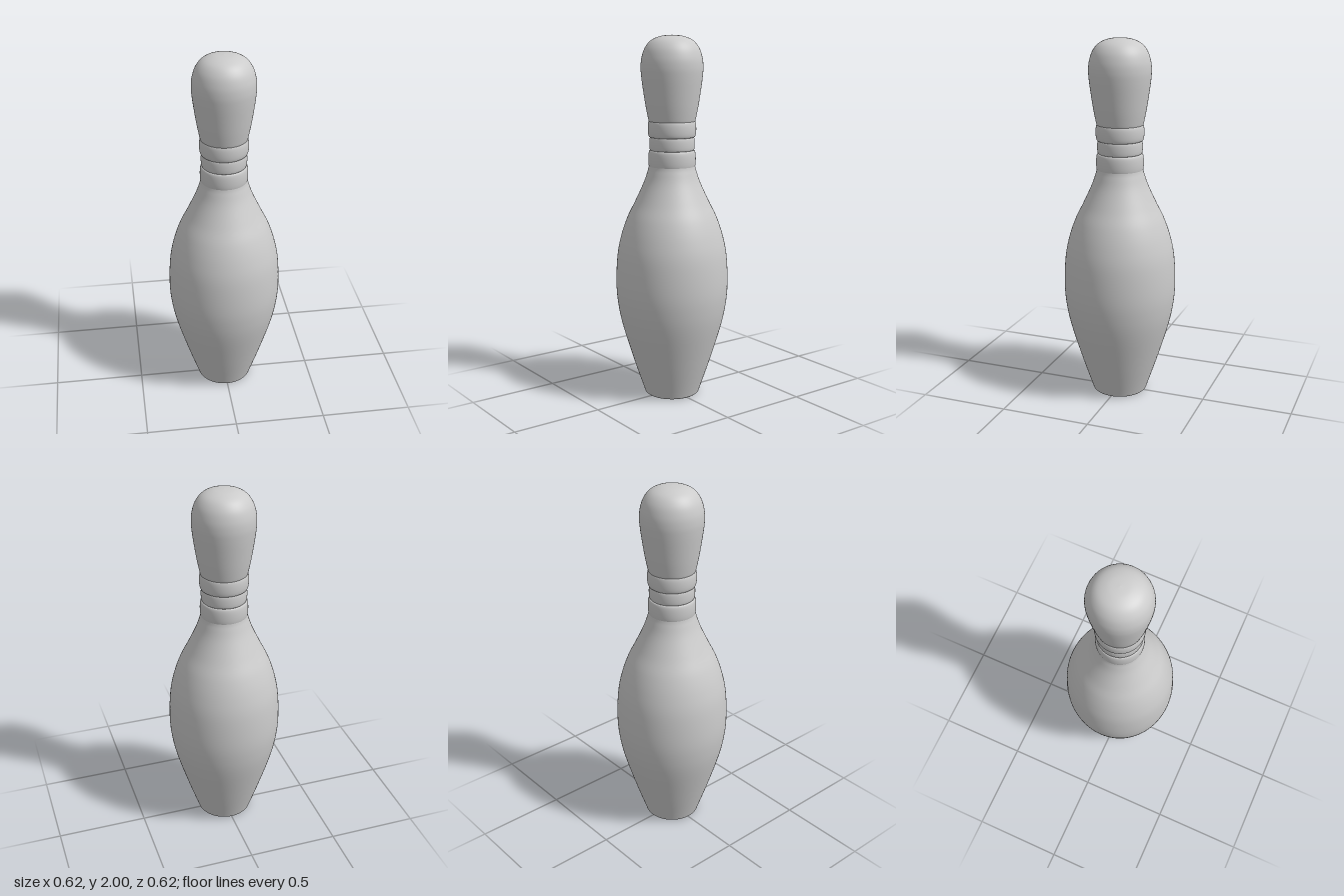
import * as THREE from 'three';

const material = new THREE.MeshStandardMaterial({ color: 0xcccccc });
const SEGMENTS = 96;

// Smooth curve through [radius, height] pairs
function smooth(pairs, count) {
  return new THREE.SplineCurve(pairs.map(([r, y]) => new THREE.Vector2(r, y))).getPoints(count);
}

function turned(name, points) {
  const mesh = new THREE.Mesh(new THREE.LatheGeometry(points, SEGMENTS), material);
  mesh.name = name;
  return mesh;
}

// Ring with softly rounded upper and lower edges
function band(name, bottom, top, radius, bulge) {
  const points = [];
  const steps = 20;
  for (let i = 0; i <= steps; i++) {
    const a = -Math.PI / 2 + (Math.PI * i) / steps;
    const c = Math.pow(Math.max(0, Math.cos(a)), 0.6);
    const y = (bottom + top) / 2 + ((top - bottom) / 2) * Math.sin(a);
    points.push(new THREE.Vector2(radius - bulge + bulge * c, y));
  }
  return turned(name, points);
}

export function createModel() {
  const pin = new THREE.Group();
  pin.name = 'bowlingPin';

  // Flat base
  const base = new THREE.Mesh(new THREE.CircleGeometry(0.143, SEGMENTS), material);
  base.rotation.x = Math.PI / 2;
  base.name = 'base';
  pin.add(base);

  // Belly and lower neck
  pin.add(turned('body', smooth([
    [0.143, 0], [0.152, 0.008], [0.16, 0.03], [0.217, 0.2], [0.277, 0.4], [0.303, 0.53],
    [0.311, 0.65], [0.303, 0.8], [0.281, 0.91], [0.247, 1.01], [0.203, 1.1],
    [0.157, 1.2], [0.136, 1.26], [0.126, 1.3], [0.117, 1.38],
  ], 90)));

  // Upper neck and domed head
  const head = smooth([
    [0.116, 1.36], [0.116, 1.44], [0.121, 1.52], [0.129, 1.55], [0.143, 1.62],
    [0.157, 1.71], [0.166, 1.78], [0.169, 1.83], [0.164, 1.88], [0.146, 1.932],
    [0.112, 1.972], [0.06, 1.994], [0, 2],
  ], 80);
  head[head.length - 1].x = 0;
  pin.add(turned('head', head));

  // Neck rings
  pin.add(band('lowerBand', 1.283, 1.382, 0.13, 0.013));
  pin.add(band('middleBand', 1.382, 1.453, 0.124, 0.008));
  pin.add(band('upperBand', 1.453, 1.543, 0.132, 0.014));

  return pin;
}
